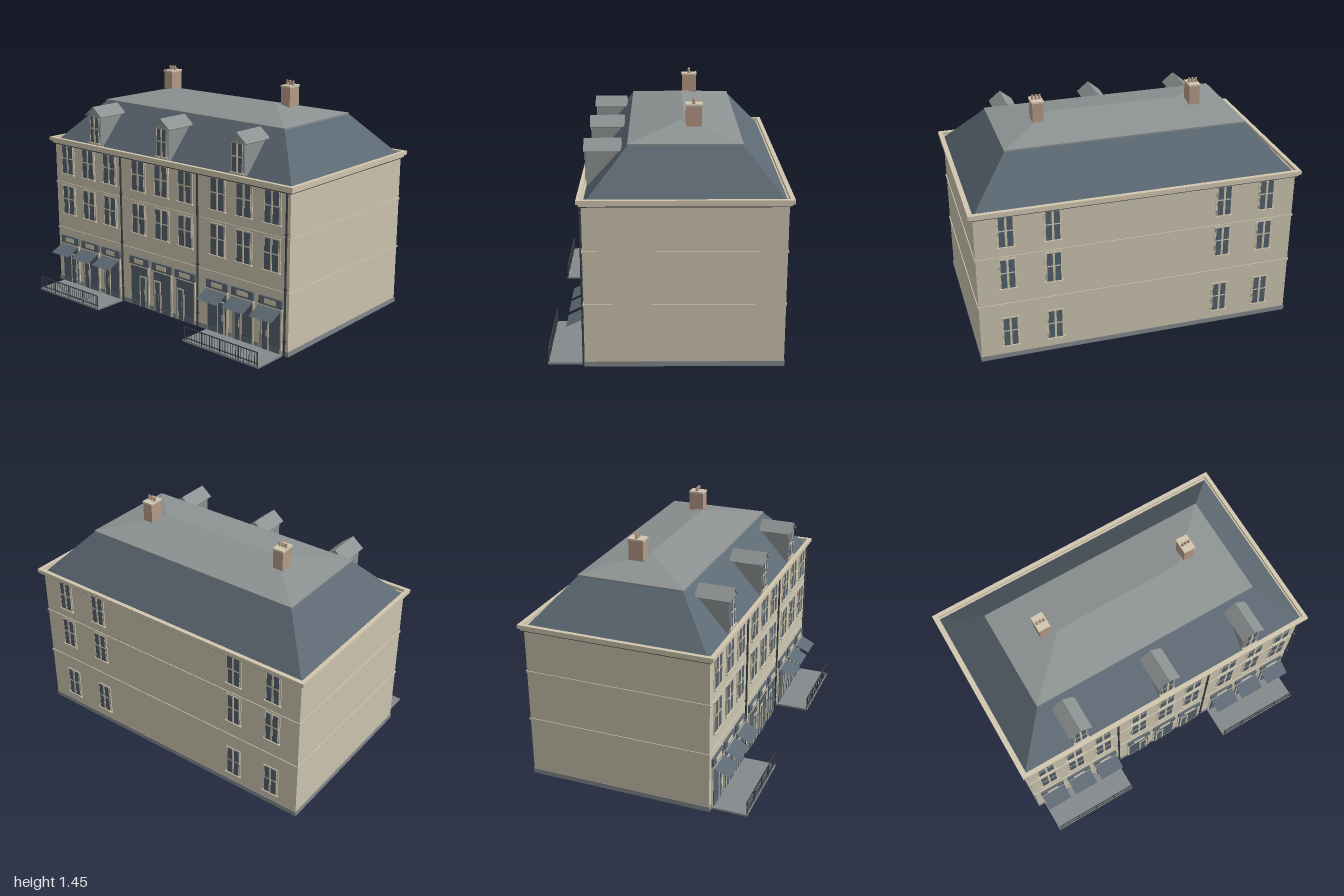
import * as THREE from 'three';

const mat = (name, color, side = THREE.FrontSide) => {
  const m = new THREE.MeshStandardMaterial({ color, side });
  m.name = name;
  return m;
};

export function createModel() {
  const M = {
    wall: mat('cream wall', 0xccc4b0),
    trim: mat('pale trim', 0xd2c7b0),
    slate: mat('blue slate', 0x5d6973, THREE.DoubleSide),
    glass: mat('dark glass', 0x53606b),
    lead: mat('grey roof', 0x8d9293, THREE.DoubleSide),
    stone: mat('grey stone', 0x85898b),
    brick: mat('chimney brick', 0xb59a86),
    iron: mat('dark iron', 0x3c4145),
  };
  const model = new THREE.Group();
  model.name = 'townHouse';

  const add = (parent, name, geo, m, x = 0, y = 0, z = 0) => {
    const mesh = new THREE.Mesh(geo, m);
    mesh.name = name;
    mesh.position.set(x, y, z);
    parent.add(mesh);
    return mesh;
  };
  const box = (parent, name, m, w, h, d, x, y, z) =>
    add(parent, name, new THREE.BoxGeometry(w, h, d), m, x, y, z);
  const group = (name, parent = model) => {
    const g = new THREE.Group();
    g.name = name;
    parent.add(g);
    return g;
  };

  // Wall footprint
  const X = 0.97, ZF = 0.47, ZB = -0.66;
  const ZC = (ZF + ZB) / 2, ZH = (ZF - ZB) / 2;

  // Rectangular ring around the footprint, from offset "inner" to offset "outer"
  const rect = (Shape, o, hx = X, hz = ZH) => new Shape().moveTo(-hx - o, -hz - o)
    .lineTo(hx + o, -hz - o).lineTo(hx + o, hz + o).lineTo(-hx - o, hz + o).closePath();
  const ring = (name, m, inner, outer, y0, y1, hx = X, hz = ZH, zc = ZC) => {
    const s = rect(THREE.Shape, outer, hx, hz);
    s.holes.push(rect(THREE.Path, inner, hx, hz));
    const g = new THREE.ExtrudeGeometry(s, { depth: y1 - y0, bevelEnabled: false });
    g.rotateX(-Math.PI / 2);
    return add(model, name, g, m, 0, y0, zc);
  };

  ring('walls', M.wall, -0.012, 0, 0.012, 0.97);
  ring('plinth', M.stone, -0.012, 0.004, 0.01, 0.04);
  for (const y of [0.385, 0.7]) ring('stringCourse', M.wall, -0.004, 0.005, y - 0.006, y + 0.006);
  ring('gutterLine', M.iron, -0.005, 0.007, 0.96, 0.968);
  ring('lowerCornice', M.trim, -0.005, 0.015, 0.968, 0.985);
  ring('upperCornice', M.trim, 0.003, 0.028, 0.982, 1.005);
  box(model, 'ceiling', M.wall, 2 * X, 0.01, 2 * ZH, 0, 0.968, ZC);

  // Four sloping faces between two rectangles [halfX, zBack, zFront, y]
  const slopes = (a, b) => {
    const corners = ([hx, z0, z1, y]) => [[-hx, y, z1], [hx, y, z1], [hx, y, z0], [-hx, y, z0]];
    const p = corners(a), q = corners(b), v = [];
    for (let i = 0; i < 4; i++) {
      const j = (i + 1) % 4;
      v.push(...p[i], ...p[j], ...q[j], ...p[i], ...q[j], ...q[i]);
    }
    const g = new THREE.BufferGeometry();
    g.setAttribute('position', new THREE.Float32BufferAttribute(v, 3));
    g.computeVertexNormals();
    return g;
  };
  add(model, 'mansardRoof', slopes([0.974, -0.662, 0.466, 0.97], [0.73, -0.42, 0.22, 1.245]), M.slate);
  add(model, 'upperRoof', slopes([0.734, -0.424, 0.224, 1.25], [0.41, -0.1, -0.1, 1.32]), M.lead);
  ring('roofCurb', M.lead, -0.012, 0.004, 1.24, 1.25, 0.73, 0.32, -0.1);

  // Casement with surround, panes, glazing bars and sill; its bottom centre is the origin
  const casement = (parent, name, w, h, x, y, z, back, surround = M.trim) => {
    const g = group(name, parent);
    g.position.set(x, y, z);
    if (back) g.rotation.y = Math.PI;
    box(g, 'surround', surround, w + 0.016, h + 0.014, 0.01, 0, h / 2, 0);
    box(g, 'glass', M.glass, w, h, 0.022, 0, h / 2, -0.003);
    box(g, 'mullion', M.trim, 0.013, h, 0.006, 0, h / 2, 0.007);
    box(g, 'transom', M.trim, w, 0.007, 0.005, 0, h * 0.55, 0.007);
    for (const s of [-1, 1]) box(g, 'stile', M.trim, 0.004, h, 0.005, s * (w / 2 - 0.002), h / 2, 0.007);
    box(g, 'sill', M.trim, w + 0.022, 0.009, 0.02, 0, -0.005, 0.004);
    return g;
  };

  const columns = [-0.85, -0.653, -0.455, -0.197, 0, 0.195, 0.45, 0.645, 0.847];
  for (const y of [0.497, 0.772])
    for (const x of columns) casement(model, 'frontWindow', 0.107, 0.186, x, y, ZF);
  for (const y of [0.1, 0.497, 0.772])
    for (const x of [-0.79, -0.52, 0.52, 0.79]) casement(model, 'backWindow', 0.09, 0.186, x, y, ZB, true);

  // Shopfronts with door, sign board and, on the outer bays, an awning
  const doorSide = [1, -1, -1, 1, -1, -1, 1, -1, -1];
  columns.forEach((x, i) => {
    const g = group('shopfront');
    g.position.set(x, 0, ZF);
    box(g, 'shopSurround', M.trim, 0.162, 0.272, 0.014, 0, 0.15, 0);
    box(g, 'shopGlass', M.glass, 0.142, 0.262, 0.03, 0, 0.148, -0.004);
    box(g, 'stallRiser', M.slate, 0.142, 0.03, 0.004, 0, 0.032, 0.011);
    const dx = doorSide[i] * 0.034;
    for (const s of [-1, 1]) box(g, 'doorPost', M.trim, 0.009, 0.2, 0.006, dx + s * 0.024, 0.118, 0.012);
    box(g, 'doorHead', M.trim, 0.057, 0.009, 0.006, dx, 0.218, 0.012);
    box(g, 'doorPane', M.glass, 0.039, 0.195, 0.005, dx, 0.116, 0.012);
    box(g, 'doorHandle', M.trim, 0.004, 0.04, 0.006, dx + 0.012, 0.12, 0.014);
    box(g, 'fascia', M.slate, 0.165, 0.052, 0.022, 0, 0.312, 0.003);
    box(g, 'fasciaLedge', M.trim, 0.168, 0.006, 0.026, 0, 0.283, 0.003);
    box(g, 'signPlate', M.trim, 0.08, 0.028, 0.004, 0, 0.313, 0.015);
    if (i < 3 || i > 5) {
      const drop = 0.045, out = 0.093;
      const awning = add(g, 'awning', new THREE.PlaneGeometry(0.162, Math.hypot(drop, out)), M.slate,
        0, 0.28 - drop / 2, 0.012 + out / 2);
      awning.rotation.x = -Math.atan2(out, drop);
    }
  });

  // Terraces with front railings
  for (const s of [-1, 1]) {
    const g = group('terrace');
    g.position.x = s * 0.647;
    box(g, 'paving', M.stone, 0.566, 0.012, 0.215, 0, 0.008, 0.5775);
    for (const y of [0.03, 0.095]) box(g, 'rail', M.iron, 0.55, 0.005, 0.005, 0, y, 0.681);
    for (let i = 0; i <= 28; i++) {
      const post = i % 7 === 0;
      const w = post ? 0.006 : 0.0025;
      box(g, post ? 'railPost' : 'baluster', M.iron, w, 0.082, w, -0.272 + i * 0.01943, 0.055, 0.681);
    }
  }

  // Drainpipes
  for (const x of [-0.348, 0.297, 0.95]) {
    add(model, 'drainpipe', new THREE.CylinderGeometry(0.006, 0.006, 0.95, 8), M.iron, x, 0.49, ZF + 0.009);
    for (const y of [0.1, 0.41, 0.73]) box(model, 'pipeBracket', M.iron, 0.017, 0.007, 0.014, x, y, ZF + 0.008);
  }

  // Dormers
  const outline = (pts) => new THREE.Shape(pts.map(([x, y]) => new THREE.Vector2(x, y)));
  const extrude = (pts, depth) =>
    new THREE.ExtrudeGeometry(outline(pts), { depth, bevelEnabled: false });
  for (const x of [-0.59, 0, 0.587]) {
    const g = group('dormer');
    g.position.x = x;
    add(g, 'dormerBody', extrude(
      [[-0.053, 0.99], [0.053, 0.99], [0.053, 1.2], [0, 1.242], [-0.053, 1.2]], 0.2), M.lead, 0, 0, 0.26);
    add(g, 'dormerRoof', extrude(
      [[-0.074, 1.19], [-0.07, 1.186], [0, 1.242], [0.07, 1.186], [0.074, 1.19], [0, 1.25]], 0.215),
    M.lead, 0, 0, 0.26);
    casement(g, 'dormerWindow', 0.08, 0.165, 0, 1.018, 0.459, false, M.lead);
  }

  // Chimneys
  for (const x of [-0.488, 0.484]) {
    const g = group('chimney');
    g.position.set(x, 0, -0.154);
    box(g, 'stack', M.brick, 0.066, 0.15, 0.092, 0, 1.345, 0);
    box(g, 'cap', M.trim, 0.074, 0.011, 0.1, 0, 1.422, 0);
    for (const px of [-0.021, 0, 0.021])
      add(g, 'pot', new THREE.CylinderGeometry(0.007, 0.009, 0.03, 10), M.brick, px, 1.44, 0);
  }
  return model;
}
